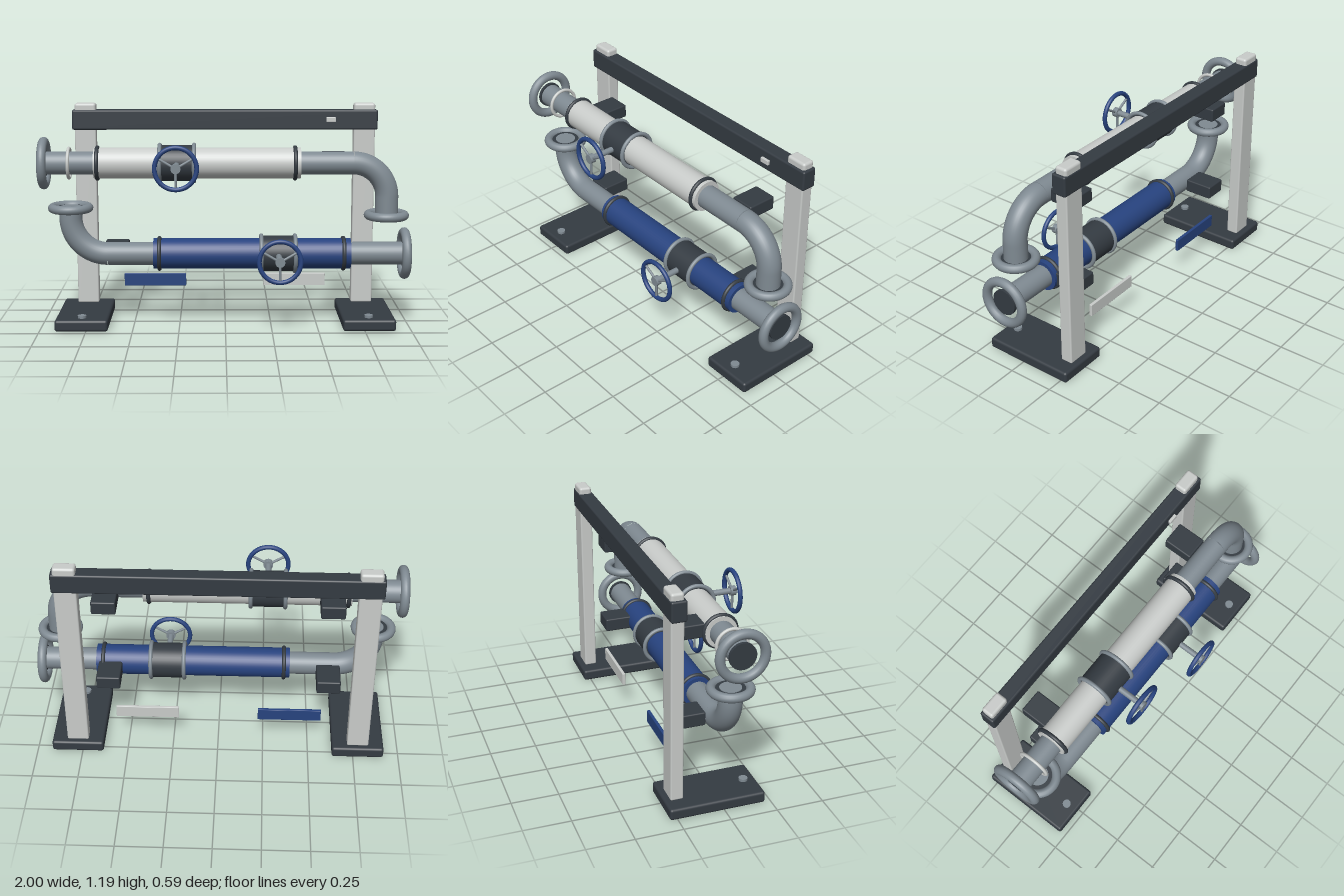
import * as THREE from 'three';
import { RoundedBoxGeometry } from 'three/addons/geometries/RoundedBoxGeometry.js';

const flat = (name, color) => Object.assign(new THREE.MeshStandardMaterial({ color }), { name });
const DARK = flat('charcoal', 0x343b42);
const STEEL = flat('pipe grey', 0x7f8a92);
const LIGHT = flat('light grey', 0xc9ccca);
const BLUE = flat('blue', 0x27437f);

const PIPE_Z = 0.047, PIPE_R = 0.062;

function add(parent, name, geometry, material, x = 0, y = 0, z = 0) {
  const mesh = new THREE.Mesh(geometry, material);
  mesh.name = name;
  mesh.position.set(x, y, z);
  parent.add(mesh);
  return mesh;
}

function box(parent, name, material, size, pos, radius = 0.008) {
  return add(parent, name, new RoundedBoxGeometry(...size, 3, radius), material, ...pos);
}

// Cylinder and ring whose axis runs along x
function cylX(parent, name, material, radius, x0, x1) {
  const g = new THREE.CylinderGeometry(radius, radius, x1 - x0, 40).rotateZ(Math.PI / 2);
  return add(parent, name, g, material, (x0 + x1) / 2);
}

function ringX(parent, name, material, radius, tube, x) {
  const g = new THREE.TorusGeometry(radius, tube, 14, 48).rotateY(Math.PI / 2);
  return add(parent, name, g, material, x);
}

// Valve: dark body with collars, stem and three-spoked handwheel facing front
function valve(parent, x) {
  const v = new THREE.Group();
  v.name = 'valve';
  v.position.x = x;
  parent.add(v);
  cylX(v, 'valveBody', DARK, 0.097, -0.092, 0.092);
  for (const s of [-1, 1]) ringX(v, 'valveCollar', STEEL, 0.098, 0.011, s * 0.092);
  add(v, 'valveStem', new THREE.CylinderGeometry(0.016, 0.016, 0.17, 20).rotateX(Math.PI / 2), STEEL, 0, 0, 0.155);
  const wheel = new THREE.Group();
  wheel.name = 'handwheel';
  wheel.position.z = 0.237;
  v.add(wheel);
  add(wheel, 'wheelRim', new THREE.TorusGeometry(0.11, 0.0125, 12, 48), BLUE);
  add(wheel, 'wheelHub', new THREE.CylinderGeometry(0.026, 0.026, 0.03, 24).rotateX(Math.PI / 2), STEEL);
  for (const a of [Math.PI / 6, Math.PI * 5 / 6, Math.PI * 1.5]) {
    const spoke = add(wheel, 'wheelSpoke', new THREE.CylinderGeometry(0.007, 0.007, 0.11, 10), STEEL,
      Math.cos(a) * 0.055, Math.sin(a) * 0.055);
    spoke.rotation.z = a - Math.PI / 2;
  }
}

// One pipe run: straight pipe, flanged end, painted sleeve, valve and elbow.
// side is the x direction of the elbow, turn the y direction it bends to.
function pipeRun(root, o) {
  const run = new THREE.Group();
  run.name = o.name;
  run.position.set(0, o.y, PIPE_Z);
  root.add(run);
  const s = o.side, end = -s * 0.968, start = o.elbowX - s * o.bend;
  cylX(run, 'straightPipe', STEEL, PIPE_R, Math.min(end, start), Math.max(end, start));
  ringX(run, 'endFlange', STEEL, 0.116, 0.025, -s * 0.975);
  cylX(run, 'endOpening', DARK, 0.07, -s * 0.972 - 0.008, -s * 0.972 + 0.008);

  cylX(run, 'sleeve', o.paint, 0.083, ...o.sleeve);
  for (const x of o.clamps) ringX(run, 'sleeveClamp', DARK, 0.084, 0.011, x);
  valve(run, o.valveX);

  // Elbow: quarter bend followed by a short vertical length
  const path = new THREE.CurvePath();
  const pts = [];
  for (let i = 0; i <= 16; i++) {
    const a = i / 16 * Math.PI / 2;
    pts.push(new THREE.Vector3(start + s * o.bend * Math.sin(a), o.turn * o.bend * (1 - Math.cos(a)), 0));
  }
  path.add(new THREE.CatmullRomCurve3(pts));
  path.add(new THREE.LineCurve3(pts[16], new THREE.Vector3(o.elbowX, o.turn * o.drop, 0)));
  add(run, 'elbow', new THREE.TubeGeometry(path, 36, PIPE_R, 32), STEEL);

  // Flange on the vertical end
  const fy = o.turn * o.drop;
  add(run, 'elbowFlange', new THREE.TorusGeometry(0.098, 0.024, 14, 48).rotateX(Math.PI / 2), STEEL, o.elbowX, fy);
  add(run, 'elbowGasket', new THREE.CylinderGeometry(0.078, 0.078, 0.012, 40), DARK, o.elbowX, fy);
  add(run, 'elbowCore', new THREE.CylinderGeometry(0.056, 0.056, 0.018, 40), STEEL, o.elbowX, fy);
  return run;
}

export function createModel() {
  const root = new THREE.Group();
  root.name = 'pipeRack';

  // Frame: feet, posts, caps, pipe brackets
  for (const s of [-1, 1]) {
    const x = s * 0.775;
    box(root, 'foot', DARK, [0.285, 0.062, 0.51], [x, 0.031, -0.035], 0.014);
    add(root, 'footBolt', new THREE.CylinderGeometry(0.023, 0.023, 0.02, 20), STEEL, x, 0.066, 0.155);
    box(root, 'post', LIGHT, [0.118, 1.06, 0.068], [x, 0.59, -0.226]);
    box(root, 'postCap', LIGHT, [0.118, 0.06, 0.068], [x, 1.161, -0.226], 0.014);
    for (const y of [0.892, 0.394]) {
      box(root, 'pipeBracket', DARK, [0.13, 0.075, 0.162], [s * 0.6, y, -0.093]);
    }
  }
  box(root, 'topRail', DARK, [1.695, 0.11, 0.082], [0, 1.1, -0.222], 0.01);

  // Marker plates
  box(root, 'railPlate', LIGHT, [0.053, 0.026, 0.016], [0.587, 1.102, -0.173], 0.003);
  box(root, 'bluePlate', BLUE, [0.347, 0.07, 0.017], [-0.393, 0.2, -0.17], 0.003);
  box(root, 'lightPlate', LIGHT, [0.347, 0.07, 0.017], [0.39, 0.2, -0.17], 0.003);

  // Pipes
  const upper = pipeRun(root, {
    name: 'upperPipe', y: 0.89, side: 1, turn: -1, elbowX: 0.873, bend: 0.185, drop: 0.285,
    paint: LIGHT, sleeve: [-0.705, 0.405], clamps: [-0.687, 0.375], valveX: -0.26,
  });
  ringX(upper, 'thinCollar', LIGHT, 0.08, 0.009, -0.84);
  pipeRun(root, {
    name: 'lowerPipe', y: 0.394, side: -1, turn: 1, elbowX: -0.836, bend: 0.2, drop: 0.253,
    paint: BLUE, sleeve: [-0.39, 0.68], clamps: [-0.358, 0.642], valveX: 0.287,
  });
  return root;
}
